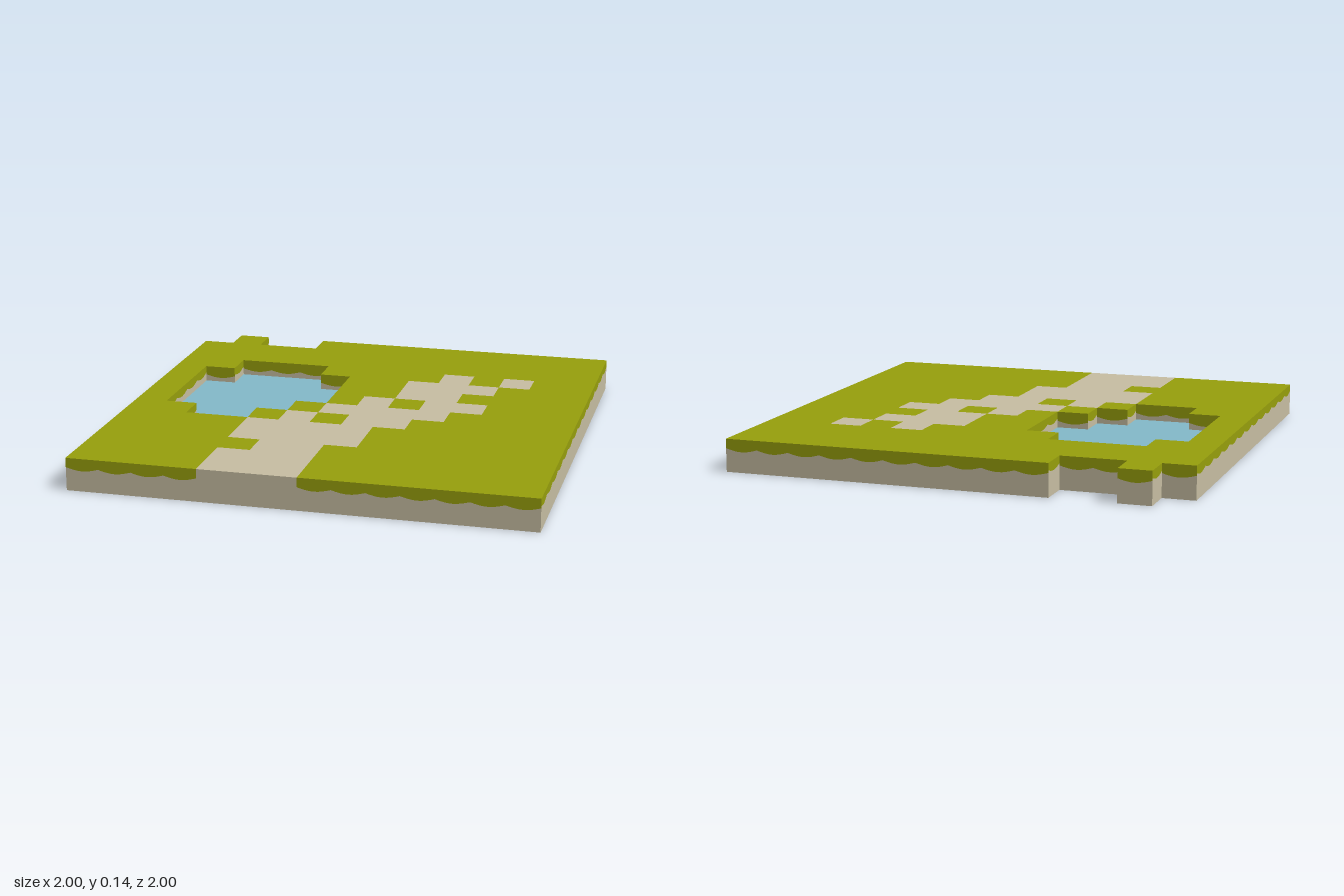
import * as THREE from 'three';
import { mergeGeometries } from 'three/addons/utils/BufferGeometryUtils.js';

// Ground plan, back row first: g grass, p path, w water, . empty
const PLAN = [
  '.g..gggggggggg',
  'gggggggggggggg',
  'gggggggggggggg',
  'ggwwwggggpgpgg',
  'gwwwwwggpppggg',
  'gwwwwwggppgggg',
  'gwwwwwgpgppggg',
  'gwwwwgppppgggg',
  'ggwwgpgppggggg',
  'ggggppppgggggg',
  'ggggppppgggggg',
  'gggggppggggggg',
  'ggggpppggggggg',
  'ggggpppggggggg',
];
const N = 14, CELL = 2 / N, TOP = CELL, WATER = CELL / 2;

const at = (i, j) => (PLAN[j] && PLAN[j][i]) || '.';
const centre = (i) => -1 + (i + 0.5) * CELL;

// Horizontal square tile facing up or down
function tile(i, j, y, up) {
  return new THREE.PlaneGeometry(CELL, CELL)
    .rotateX(up ? -Math.PI / 2 : Math.PI / 2)
    .translate(centre(i), y, centre(j));
}

// Hanging scalloped edge of the turf across one cell
function fringeLine(high) {
  const pts = [];
  for (let k = 0; k <= 8; k++) {
    const t = k / 8;
    pts.push(new THREE.Vector2((t - 0.5) * CELL, high - 0.013 * Math.sin(Math.PI * t)));
  }
  return pts;
}

// Vertical face on one side of a cell, between a lower and an upper line
function wall(i, j, dx, dz, lower, upper) {
  const shape = new THREE.Shape([...lower, ...[...upper].reverse()]);
  return new THREE.ShapeGeometry(shape)
    .rotateY(Math.atan2(dx, dz))
    .translate(centre(i) + dx * CELL / 2, 0, centre(j) + dz * CELL / 2);
}
const level = (y) => [new THREE.Vector2(-CELL / 2, y), new THREE.Vector2(CELL / 2, y)];

export function createModel() {
  const material = (name, color) => {
    const m = new THREE.MeshStandardMaterial({ color });
    m.name = name;
    return m;
  };
  const grass = material('grass', 0x98a00c);
  const soil = material('soil', 0xc8bfa3);
  const water = material('water', 0x84bacb);

  const parts = {
    grassTop: [], grassFringe: [], path: [], soilWalls: [], soilBase: [],
    pondSurface: [], pondBase: [],
  };

  for (let j = 0; j < N; j++) for (let i = 0; i < N; i++) {
    const c = at(i, j);
    if (c === '.') continue;
    if (c === 'w') {
      parts.pondSurface.push(tile(i, j, WATER, true));
      parts.pondBase.push(tile(i, j, 0, false));
      continue;
    }
    parts[c === 'g' ? 'grassTop' : 'path'].push(tile(i, j, TOP, true));
    parts.soilBase.push(tile(i, j, 0, false));

    // Walls towards empty cells and the sunken pond
    for (const [dx, dz] of [[1, 0], [-1, 0], [0, 1], [0, -1]]) {
      const next = at(i + dx, j + dz);
      if (next !== '.' && next !== 'w') continue;
      const floor = level(next === 'w' ? WATER : 0);
      const edge = c === 'g' ? fringeLine(dx ? 0.112 : 0.102) : level(TOP);
      parts.soilWalls.push(wall(i, j, dx, dz, floor, edge));
      if (c === 'g') parts.grassFringe.push(wall(i, j, dx, dz, edge, level(TOP)));
    }
  }

  const materials = {
    grassTop: grass, grassFringe: grass, path: soil, soilWalls: soil, soilBase: soil,
    pondSurface: water, pondBase: water,
  };
  const group = new THREE.Group();
  group.name = 'groundTile';
  for (const [name, list] of Object.entries(parts)) {
    const mesh = new THREE.Mesh(mergeGeometries(list), materials[name]);
    mesh.name = name;
    group.add(mesh);
  }
  return group;
}
